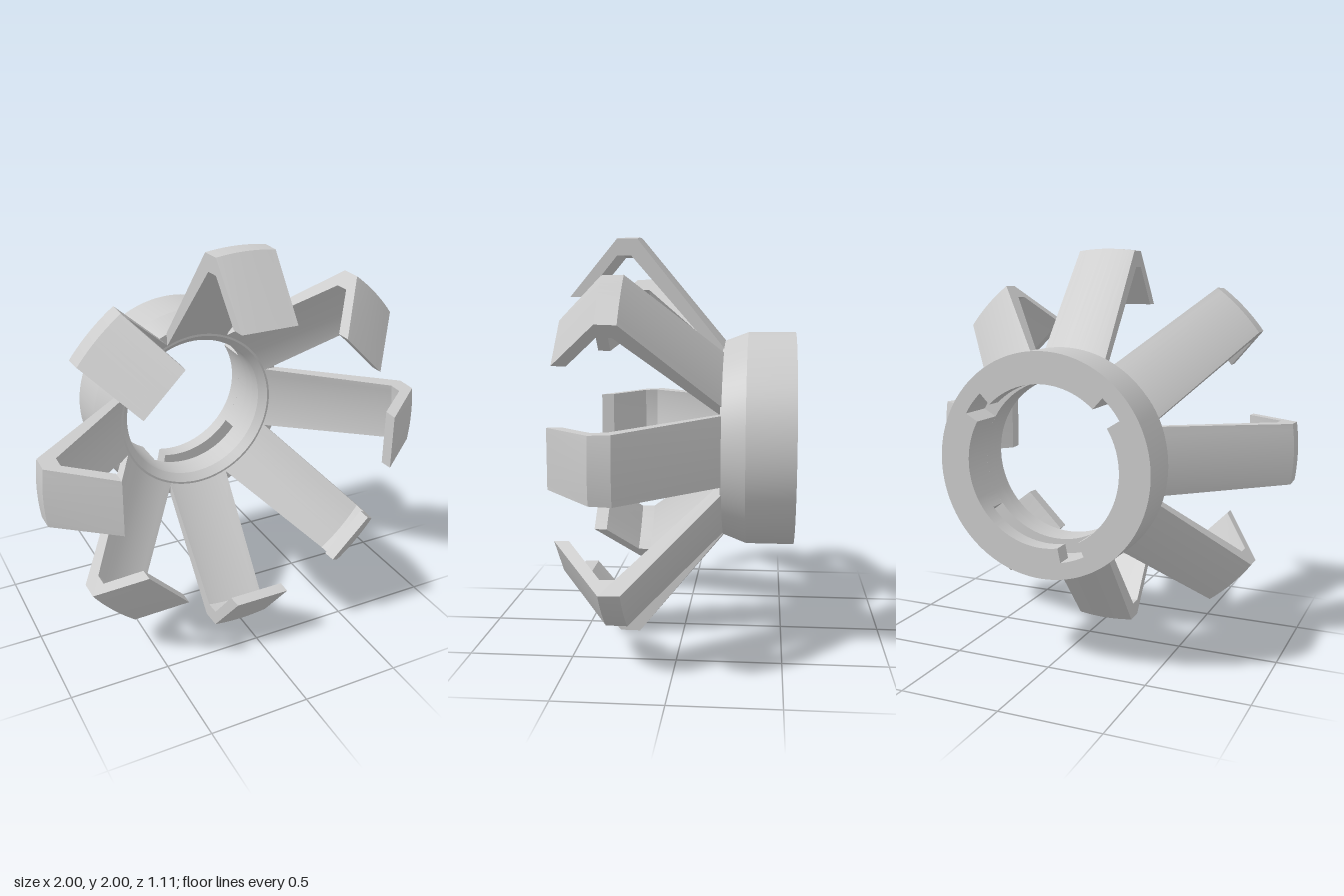
import * as THREE from 'three';
import { toCreasedNormals } from 'three/addons/utils/BufferGeometryUtils.js';

const material = new THREE.MeshStandardMaterial({ color: 0xcccccc });
const rad = THREE.MathUtils.degToRad;
const BORE = 0.385, SLOT = 0.455, BACK = -0.555;

function addMesh(parent, name, geometry, crease = 0.3) {
  const mesh = new THREE.Mesh(toCreasedNormals(geometry, crease), material);
  mesh.name = name;
  parent.add(mesh);
  return mesh;
}

// Annular slab whose bore is widened to SLOT over the given [start, end] arcs (degrees)
function boreLayer(z0, z1, arcs) {
  const shape = new THREE.Shape();
  shape.absarc(0, 0, 0.5, 0, Math.PI * 2, false);
  const hole = new THREE.Path();
  if (!arcs.length) hole.absarc(0, 0, BORE, 0, Math.PI * 2, false);
  arcs.forEach(([start, end], i) => {
    const next = i + 1 < arcs.length ? arcs[i + 1][0] : arcs[0][0] + 360;
    hole.absarc(0, 0, SLOT, rad(start), rad(end), false);
    hole.absarc(0, 0, BORE, rad(end), rad(next), false);
  });
  shape.holes.push(hole);
  const geometry = new THREE.ExtrudeGeometry(shape, {
    depth: z1 - z0, bevelEnabled: false, curveSegments: 48,
  });
  return geometry.translate(0, 0, z0);
}

// Bent arm: profile in (z, radius), swept across its width and bowed round the axis
function armGeometry() {
  const profile = [
    [-0.22, 0.475], [0.22, 1], [0.32, 1], [0.555, 0.71],
    [0.485, 0.71], [0.32, 0.92], [0.25, 0.92], [-0.22, 0.41],
  ].map(([z, r]) => new THREE.Vector2(z, r));
  const geometry = new THREE.ExtrudeGeometry(new THREE.Shape(profile), {
    depth: 2, steps: 10, bevelEnabled: false,
  });
  geometry.translate(0, 0, -1).rotateY(-Math.PI / 2);
  const p = geometry.attributes.position;
  for (let i = 0; i < p.count; i++) {
    const r = p.getY(i), z = p.getZ(i);
    const x = p.getX(i) * (0.16 - 0.037 * z);
    const isTip = z > 0.4;
    p.setXYZ(i, x, isTip ? r : Math.sqrt(r * r - x * x), z);
  }
  return geometry;
}

export function createModel() {
  const model = new THREE.Group();
  model.name = 'clawRing';
  const body = new THREE.Group();
  body.name = 'body';
  body.position.y = 1;
  model.add(body);

  // Collar shell with tapered shoulder and chamfered front opening
  const collar = new THREE.LatheGeometry([
    [0.495, BACK], [0.535, BACK], [0.535, -0.32], [0.49, -0.2],
    [0.42, -0.2], [BORE, -0.24], [BORE, -0.31],
  ].map(([r, z]) => new THREE.Vector2(r, z)), 96);
  addMesh(body, 'collar', collar.rotateX(Math.PI / 2));

  // Twist-lock bore: entry notches at the back, locking grooves behind the lip
  const notches = [38, 140, 250];
  const half = 8;
  addMesh(body, 'notchedLip', boreLayer(BACK, -0.47, notches.map(a => [a - half, a + half])));
  addMesh(body, 'lockingGrooves', boreLayer(-0.47, -0.38, notches.map(a => [a - half, a + 72])));
  addMesh(body, 'innerStop', boreLayer(-0.38, -0.3, []));

  // Eight claw arms around the collar
  const arm = armGeometry();
  for (let i = 0; i < 8; i++) {
    addMesh(body, 'clawArm', arm).rotation.z = i * Math.PI / 4;
  }
  return model;
}
